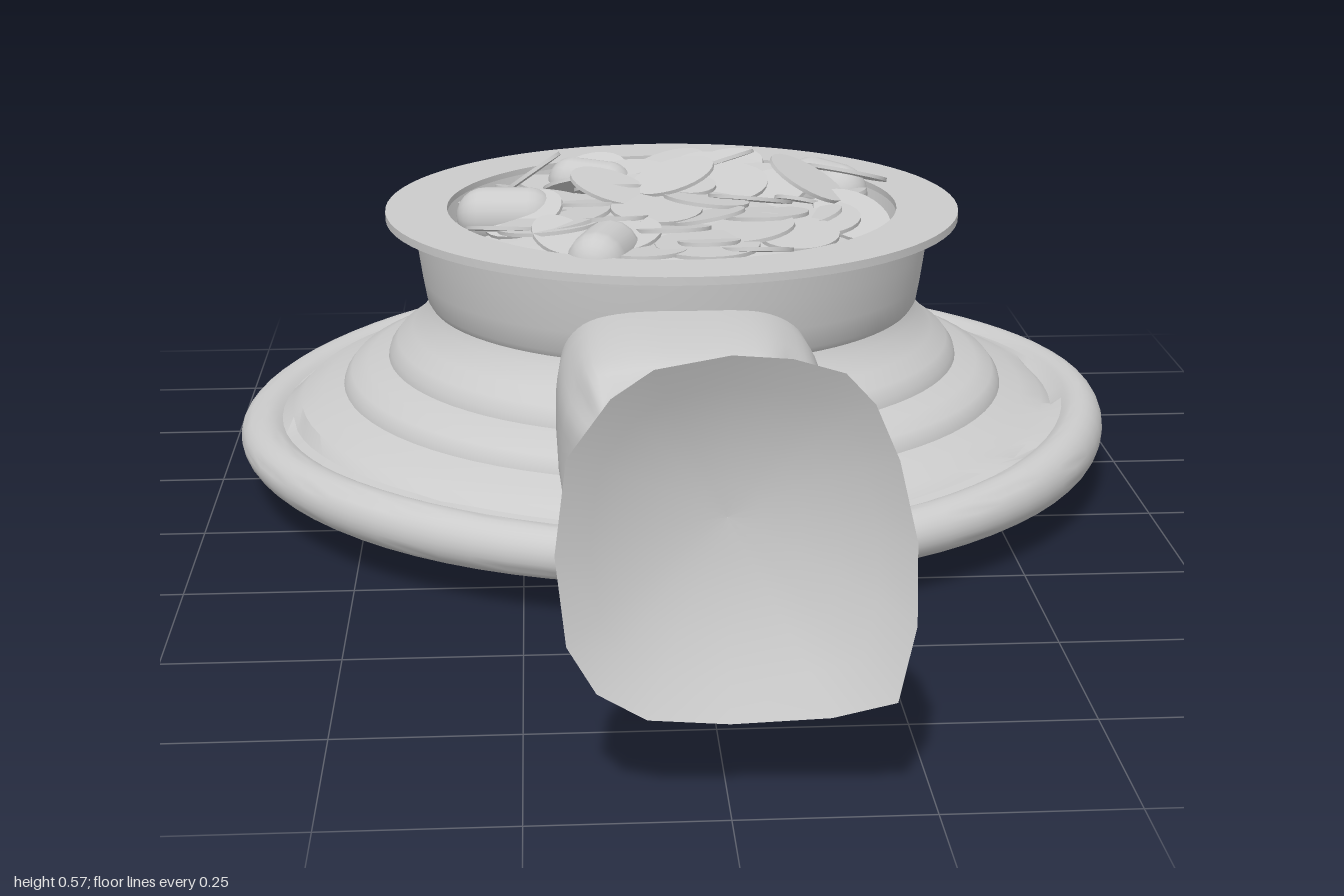
import * as THREE from 'three';
import { toCreasedNormals } from 'three/addons/utils/BufferGeometryUtils.js';

const CZ = -0.285; // centre of the bowl along z
const material = new THREE.MeshStandardMaterial({ color: 0xcccccc, side: THREE.DoubleSide });

let seed = 7;
const rand = () => (seed = (seed * 16807) % 2147483647) / 2147483647;

function add(parent, name, geometry, x = 0, y = 0, z = 0) {
  const mesh = new THREE.Mesh(geometry, material);
  mesh.name = name;
  mesh.position.set(x, y, z);
  parent.add(mesh);
  return mesh;
}

// Surface from equal-length rows of points; rows close on themselves
function loft(rows) {
  const n = rows[0].length, index = [];
  for (let r = 0; r < rows.length - 1; r++) {
    for (let i = 0; i < n; i++) {
      const j = (i + 1) % n, a = r * n, b = a + n;
      index.push(a + i, a + j, b + j, a + i, b + j, b + i);
    }
  }
  const g = new THREE.BufferGeometry();
  g.setAttribute('position', new THREE.Float32BufferAttribute(rows.flat(2), 3));
  g.setIndex(index);
  g.computeVertexNormals();
  return g;
}

// Plate, rolled edge, stepped tiers, neck, flat rim and inner wall in one profile
function bowlGeometry() {
  const roll = Array.from({ length: 18 }, (_, i) => {
    const a = -Math.PI / 2 + (i / 17) * 3.9;
    return [0.675 + 0.04 * Math.cos(a), 0.094 + 0.039 * Math.sin(a)];
  });
  const profile = [
    [0, 0.055], [0.4, 0.055], ...roll,
    [0.63, 0.125], [0.615, 0.139], [0.58, 0.152], [0.545, 0.162], // lower tier
    [0.542, 0.172], [0.532, 0.185], [0.505, 0.197], [0.47, 0.206], // middle tier
    [0.467, 0.218], [0.455, 0.234], [0.43, 0.252], [0.405, 0.28], [0.398, 0.295], // upper tier
    [0.404, 0.305], [0.41, 0.34], [0.417, 0.39], [0.421, 0.437], // neck
    [0.468, 0.437], [0.468, 0.45], [0.368, 0.45], [0.368, 0.44], // rim
    [0.405, 0.437], [0.395, 0.37], [0.34, 0.34], [0, 0.34],
  ].map(([x, y]) => new THREE.Vector2(x, y));
  const g = new THREE.LatheGeometry(profile, 80);
  const p = g.attributes.position;
  for (let i = 0; i < p.count; i++) { // slightly uneven hand-rolled edge
    const r = Math.hypot(p.getX(i), p.getZ(i)), y = p.getY(i);
    if (r > 0.63) {
      const a = Math.atan2(p.getZ(i), p.getX(i)), k = Math.max(0, (y - 0.06) / 0.07);
      p.setY(i, y + k * (0.007 * Math.sin(3 * a + 1) + 0.007 * Math.cos(a)));
    }
  }
  return toCreasedNormals(g, 0.5);
}

// Puffed cloth handle with a gathered, crumpled outer end
function clothGeometry(phase, taper) {
  const sections = [ // distance, half width, bottom, top, fold strength
    [0.33, 0.19, 0.12, 0.38, 0], [0.45, 0.2, 0.1, 0.386, 0.1], [0.54, 0.2, 0.085, 0.383, 0.2],
    [0.6, 0.198, 0.07, 0.378, 0.4], [0.645, 0.19, 0.06, 0.37, 0.7], [0.68, 0.175, 0.06, 0.35, 1],
    [0.692, 0.145, 0.085, 0.32, 1.2], [0.68, 0.105, 0.12, 0.29, 1.4], [0.645, 0.06, 0.16, 0.25, 1],
    [0.61, 0.03, 0.18, 0.22, 0.4], [0.6, 0.002, 0.199, 0.201, 0],
  ];
  const square = (v) => Math.sign(v) * Math.abs(v) ** 0.65;
  return loft(sections.map(([d, w, lo, hi, f]) => Array.from({ length: 64 }, (_, i) => {
    const a = (i / 64) * Math.PI * 2;
    const fold = Math.sin(6 * a + phase) + 0.5 * Math.sin(11 * a + 2 * phase);
    const s = 1 + 0.05 * f * fold;
    return [
      w * s * (1 - taper * Math.min(f, 1)) * square(Math.cos(a)),
      (lo + hi) / 2 + ((hi - lo) / 2) * Math.min(s, 1.04) * square(Math.sin(a)),
      d + 0.012 * f * Math.sin(5 * a + phase) - 0.012 * f * Math.sin(a),
    ];
  })));
}

// Curved loose panel: outline rings shrinking to the middle
function panelGeometry() {
  const outline = [
    [0, 0.567], [0.07, 0.563], [0.13, 0.548], [0.165, 0.51], [0.195, 0.44], [0.218, 0.34], [0.218, 0.24],
    [0.195, 0.15], [0.12, 0.122], [0, 0.11], [-0.1, 0.122], [-0.16, 0.16], [-0.195, 0.22],
    [-0.207, 0.33], [-0.192, 0.45], [-0.14, 0.52], [-0.09, 0.553],
  ].reverse();
  return loft([1, 0.8, 0.6, 0.4, 0.2, 0.001].map((s) => outline.map(([px, py]) => {
    const x = px * s, dy = (py - 0.35) * s;
    return [x, 0.35 + dy, 0.91 + 1.5 * x * x + 1.1 * dy * dy];
  })));
}

export function createModel() {
  const model = new THREE.Group();
  const dish = new THREE.Group();
  dish.name = 'dish';
  dish.position.z = CZ;
  model.add(dish);

  add(dish, 'bowl', bowlGeometry());
  add(dish, 'frontClothHandle', clothGeometry(0.6, 0.1));
  add(dish, 'backClothHandle', clothGeometry(2.4, 0)).rotation.y = Math.PI;

  // Small hanging folds at the cloth ends
  for (const [x, z, h] of [[-0.1, 0.69, 0.17], [0.13, 0.66, 0.12], [0.1, -0.66, 0.13], [-0.12, -0.65, 0.15]]) {
    const fold = add(dish, 'clothFold', new THREE.SphereGeometry(1, 16, 12), x, h, z);
    fold.scale.set(0.055, 0.08, 0.045);
    fold.rotation.z = x * 3;
  }

  // Heap of contents
  const contents = new THREE.Group();
  contents.name = 'contents';
  dish.add(contents);
  const mound = [[0.39, 0.385], [0.3, 0.42], [0.18, 0.445], [0.08, 0.46], [0, 0.465]];
  add(contents, 'mound', new THREE.LatheGeometry(mound.map(([x, y]) => new THREE.Vector2(x, y)), 40));
  const height = (x, z) => 0.475 - 0.13 * Math.hypot(x, z);

  const disc = toCreasedNormals(new THREE.CylinderGeometry(1, 1, 0.1, 24), 0.6);
  const addSlice = (x, z, r, tilt) => {
    const slice = add(contents, 'slice', disc, x, height(x, z) + 0.008, z);
    slice.scale.set(r, 0.06, r * 0.9);
    slice.rotation.set((rand() - 0.5) * tilt, rand() * 6, (rand() - 0.5) * tilt);
  };
  for (let i = 0; i < 46; i++) {
    const a = i * 2.4, d = 0.31 * Math.sqrt((i + 0.5) / 46);
    addSlice(d * Math.cos(a), d * Math.sin(a), 0.045 + 0.035 * rand(), 0.75);
  }
  for (const [x, z, r] of [[0.1, -0.27, 0.075], [0.22, 0.12, 0.085], [-0.2, 0.14, 0.085], [0.04, 0.27, 0.09], [-0.1, -0.24, 0.07]]) {
    addSlice(x, z, r, 0.3);
  }
  // Raised slices leaning out of the heap
  for (const [x, y, z, tilt] of [[-0.24, 0.485, -0.05, 0.6], [0.22, 0.495, 0.03, -0.5], [0.3, 0.475, -0.1, -0.2],
    [0, 0.5, 0.02, 0.3], [-0.1, 0.49, 0.05, -0.3], [0.08, 0.485, -0.14, 0.3]]) {
    const slice = add(contents, 'leaningSlice', disc, x, y, z);
    slice.scale.set(0.07, 0.06, 0.055);
    slice.rotation.set(0.25 * Math.sign(z), 0, tilt);
  }
  for (const [x, z, turn, r] of [[0.27, -0.15, 0.6, 0.05], [-0.13, -0.155, 1, 0.042], [-0.27, 0.03, 1.5, 0.047], [-0.12, 0.28, -0.3, 0.047]]) {
    const chunk = add(contents, 'roundedChunk', new THREE.CapsuleGeometry(r, 0.07, 6, 16), x, height(x, z), z);
    chunk.rotation.set(Math.PI / 2, turn, 0, 'YXZ');
  }

  // Strap passing under the plate, tied in a bow
  add(dish, 'strap', new THREE.BoxGeometry(0.27, 0.02, 1.2), 0, 0.053, 0.07);
  for (const z of [0.65, -0.65]) {
    const tuck = add(dish, 'strapTuck', new THREE.SphereGeometry(1, 20, 12), 0, 0.06, z);
    tuck.scale.set(0.17, 0.03, 0.05);
  }
  for (const side of [-1, 1]) {
    const rx = side < 0 ? 0.17 : 0.15, rz = side < 0 ? 0.23 : 0.2;
    const pts = Array.from({ length: 16 }, (_, i) => {
      const a = (i / 16) * Math.PI * 2;
      return new THREE.Vector3(side * (rx - 0.03) + rx * Math.cos(a), 0.04 + 0.006 * Math.sin(a + side), rz * Math.sin(a));
    });
    const loop = new THREE.TubeGeometry(new THREE.CatmullRomCurve3(pts, true), 64, 0.038, 12, true);
    loop.scale(1, 0.8, 1);
    add(dish, 'bowLoop', loop);
  }
  const knot = add(dish, 'bowKnot', new THREE.SphereGeometry(1, 20, 12), 0, 0.032, 0);
  knot.scale.set(0.07, 0.032, 0.06);
  for (const side of [-1, 1]) {
    const tail = new THREE.CatmullRomCurve3([[0, 0.03, 0], [0.06, 0.025, 0.05], [0.09, 0.035, 0.12]]
      .map(([x, y, z]) => new THREE.Vector3(side * x, y, side * z)));
    add(dish, 'bowTail', new THREE.TubeGeometry(tail, 12, 0.022, 10));
  }

  add(model, 'loosePanel', panelGeometry());
  return model;
}
